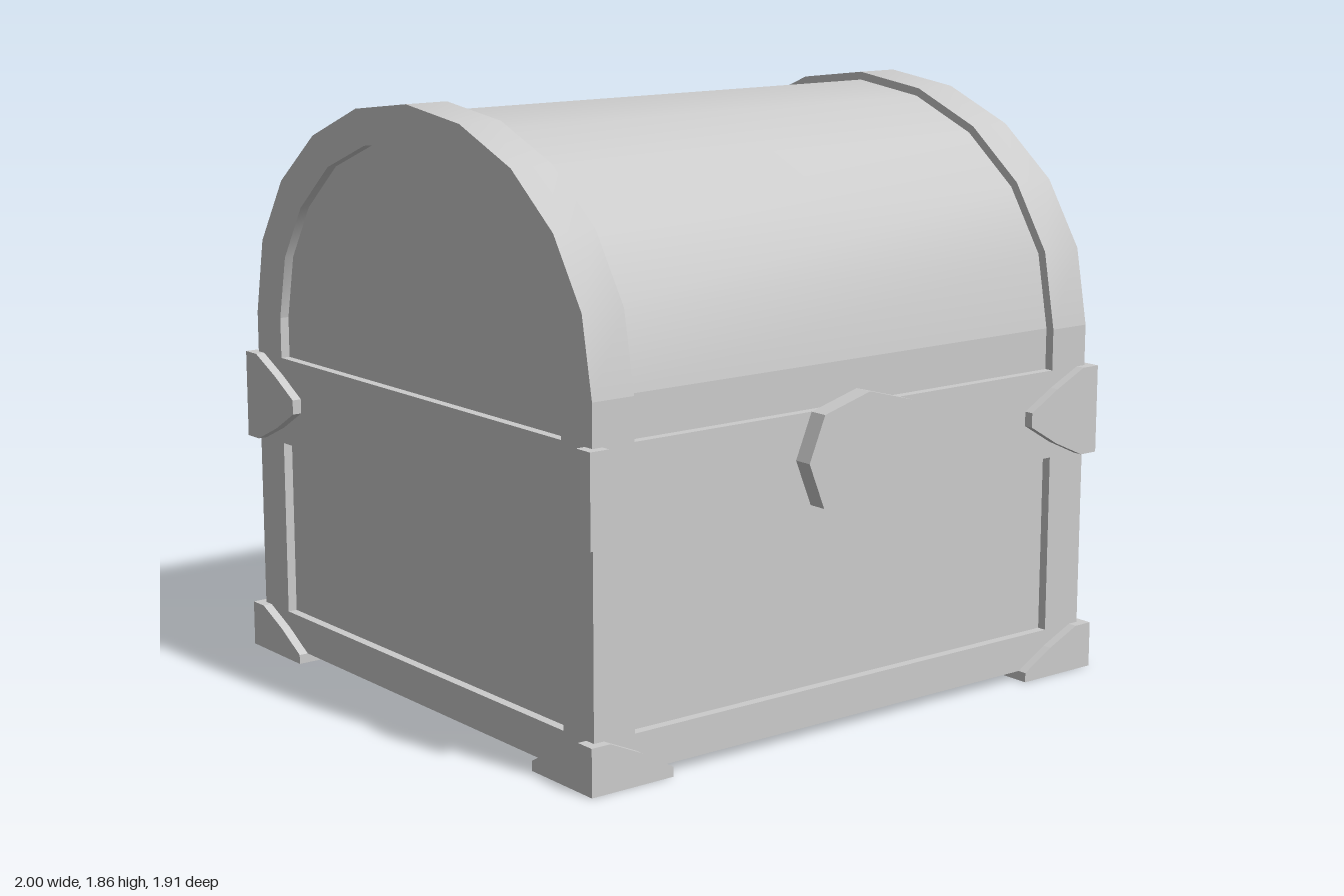
import * as THREE from 'three';
import { toCreasedNormals } from 'three/addons/utils/BufferGeometryUtils.js';

const material = new THREE.MeshStandardMaterial({ color: 0xcccccc });
const SPRING = 1.12; // height where the arched lid starts
const DEPTH = 0.03; // depth of the recessed panels

// half arches as [half width, height], from the spring line to the crown
const OUTER = [[0.91, SPRING], [0.865, 1.36], [0.735, 1.565], [0.535, 1.725], [0.28, 1.828], [0, 1.863]];
const INNER = [[0.765, SPRING], [0.725, 1.32], [0.62, 1.49], [0.45, 1.635], [0.235, 1.72], [0, 1.745]];
const fullArch = (half) => [...half, ...half.slice(0, -1).reverse().map(([z, y]) => [-z, y])];

const toShape = (pts) => new THREE.Shape(pts.map(([a, b]) => new THREE.Vector2(a, b)));
const extrude = (shape, depth) => new THREE.ExtrudeGeometry(shape, { depth, bevelEnabled: false });

export function createModel() {
  const chest = new THREE.Group();
  chest.name = 'chest';
  chest.position.z = -0.015;

  const add = (name, geometry, parent = chest) => {
    const mesh = new THREE.Mesh(geometry, material);
    mesh.name = name;
    parent.add(mesh);
    return mesh;
  };
  const box = (name, x0, x1, y0, y1, z0, z1, parent) =>
    add(name, new THREE.BoxGeometry(Math.abs(x1 - x0), y1 - y0, Math.abs(z1 - z0)), parent)
      .position.set((x0 + x1) / 2, (y0 + y1) / 2, (z0 + z1) / 2);
  // side profile drawn in (z, y), extruded along x
  const alongX = (name, shape, x0, x1, smooth) => {
    let g = extrude(shape, x1 - x0).rotateY(Math.PI / 2).translate(x0, 0, 0);
    if (smooth) g = toCreasedNormals(g, 0.5);
    return add(name, g);
  };

  // recessed panels: straight body and arched lid
  const halfZ = 0.91 - DEPTH;
  box('bodyPanels', -0.94, 0.94, 0.06, SPRING, -halfZ, halfZ);
  const lid = OUTER.map(([z, y]) => [z * halfZ / 0.91, SPRING + (y - SPRING) * 0.965]);
  alongX('lidPanels', toShape(fullArch(lid)), -0.94, 0.94, true);

  // end frames: straight part with a panel opening, arched part above
  const straight = toShape([
    [-0.91, 0.03], [0.91, 0.03], [0.91, SPRING], [0.765, SPRING],
    [0.765, 0.99], [-0.765, 0.99], [-0.765, SPRING], [-0.91, SPRING],
  ]);
  straight.holes.push(new THREE.Path(
    [[-0.765, 0.145], [-0.765, 0.71], [0.765, 0.71], [0.765, 0.145]].map((p) => new THREE.Vector2(...p))));
  const arch = toShape([...fullArch(OUTER), ...fullArch(INNER).reverse()]);
  for (const [side, x0, x1] of [['left', 0.825, 0.97], ['right', -0.97, -0.825]]) {
    alongX(side + 'EndFrame', straight, x0, x1, false);
    alongX(side + 'LidArch', arch, x0, x1, true);
  }

  // front and back rails
  for (const [face, s] of [['front', 1], ['back', -1]]) {
    box(face + 'MiddleRail', -0.825, 0.825, 0.71, 0.99, s * 0.765, s * 0.91);
    box(face + 'BottomRail', -0.825, 0.825, 0.03, 0.145, s * 0.765, s * 0.91);
  }

  // corner brackets: outline as [distance from corner, height]
  const middle = [[0, 0.99], [0.065, 0.99], [0.18, 0.935], [0.29, 0.873],
    [0.29, 0.827], [0.18, 0.762], [0.065, 0.71], [0, 0.71]];
  const bottom = [[0, 0], [0.29, 0], [0.29, 0.03], [0.18, 0.093], [0.065, 0.145], [0, 0.145]];
  for (const sx of [1, -1]) for (const sz of [1, -1]) {
    const corner = new THREE.Group();
    corner.name = (sz > 0 ? 'front' : 'back') + (sx > 0 ? 'Left' : 'Right') + 'Corner';
    chest.add(corner);
    for (const [level, pts] of [['middle', middle], ['bottom', bottom]]) {
      const facePlate = extrude(toShape(pts.map(([d, y]) => [sx * (1 - d), y])), 0.03);
      add(level + 'FaceBracket', facePlate.translate(0, 0, sz > 0 ? 0.91 : -0.94), corner);
      const sidePlate = extrude(toShape(pts.map(([d, y]) => [-sz * (0.94 - d), y])), 0.03);
      add(level + 'SideBracket', sidePlate.rotateY(Math.PI / 2).translate(sx > 0 ? 0.97 : -1, 0, 0), corner);
    }
    box('foot', sx * 0.71, sx * 0.97, 0, 0.03, sz * 0.65, sz * 0.91, corner);
  }

  // eight-sided lock plate
  const lock = [[0, 1.038], [0.175, 0.99], [0.233, 0.852], [0.175, 0.71],
    [0, 0.665], [-0.175, 0.71], [-0.233, 0.852], [-0.175, 0.99]];
  add('lockPlate', extrude(toShape(lock), 0.06).translate(0, 0, 0.91));

  const model = new THREE.Group();
  model.name = 'treasureChest';
  model.add(chest);
  return model;
}
